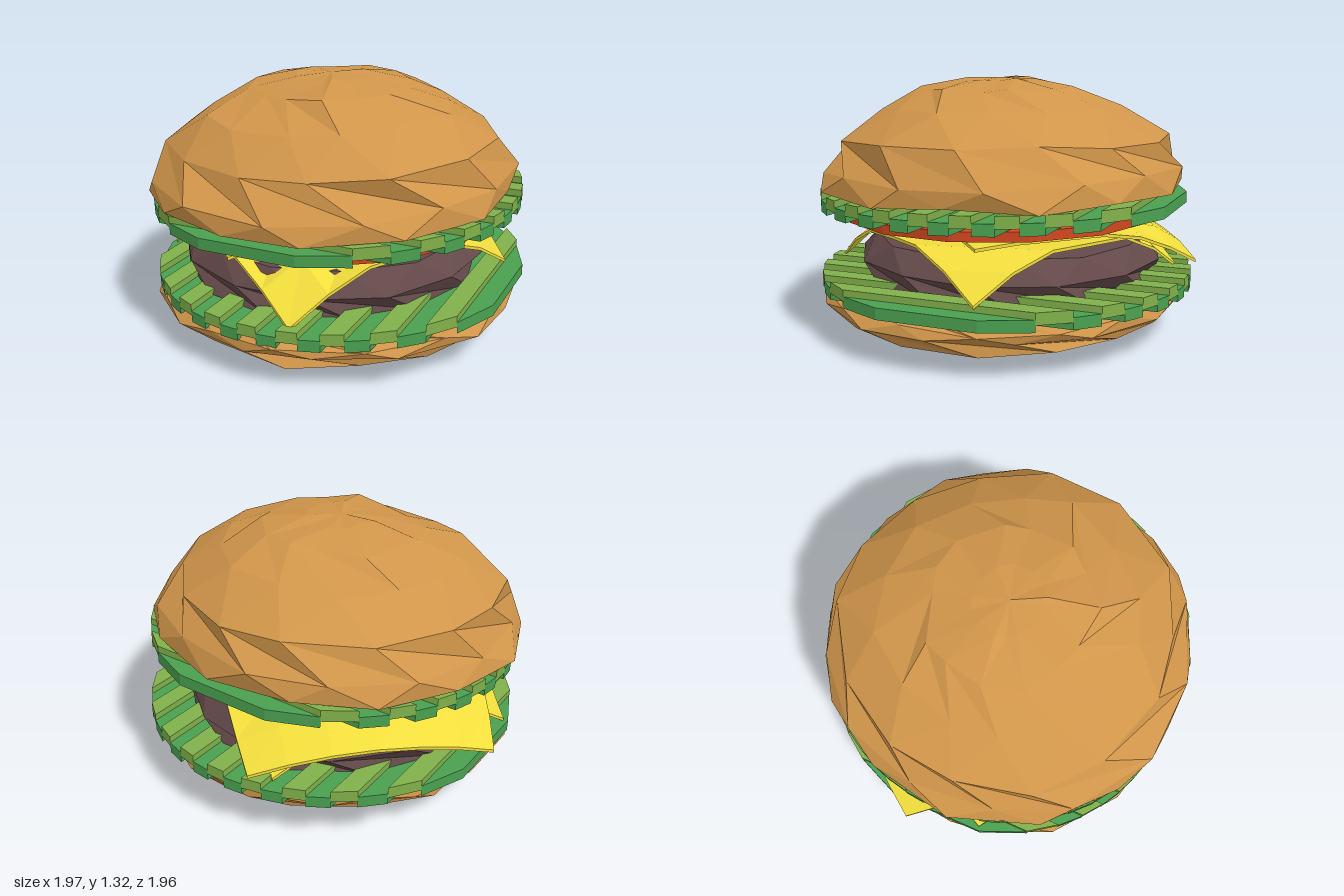
import * as THREE from 'three';
import { mergeGeometries } from 'three/addons/utils/BufferGeometryUtils.js';

const mat = color => new THREE.MeshStandardMaterial({ color, flatShading: true });
const BUN = mat(0xd0954a), LEAF = mat(0x4aa050), LEAF_LIGHT = mat(0x80b04a),
  TOMATO = mat(0xe04c22), PATTY = mat(0x64494a), CHEESE = mat(0xf0dc3c);

function mesh(name, geometry, material) {
  const m = new THREE.Mesh(geometry, material);
  m.name = name;
  return m;
}

// repeatable value in -1..1 from a position, so seam vertices stay joined
function noise(x, y, z, seed) {
  const q = v => Math.round(v * 1000);
  const s = Math.sin(q(x) * 12.9898 + q(y) * 78.233 + q(z) * 37.719 + seed * 4.13) * 43758.5453;
  return (s - Math.floor(s)) * 2 - 1;
}

// faceted round body: lathe with staggered rings and jittered vertices
function lumpy(profile, sides, jitter, seed) {
  const g = new THREE.LatheGeometry(profile.map(p => new THREE.Vector2(...p)), sides);
  const pos = g.attributes.position, v = new THREE.Vector3();
  const axis = new THREE.Vector3(0, 1, 0);
  for (let i = 0; i < pos.count; i++) {
    v.fromBufferAttribute(pos, i);
    if ((i % profile.length) % 2) v.applyAxisAngle(axis, Math.PI / sides);
    const { x, y, z } = v, r = Math.hypot(x, z);
    if (r > 0.01) {
      const k = 1 + jitter * noise(x, y, z, seed) / Math.max(r, 0.4);
      const turn = 1.2 * jitter * noise(x, y, z, seed + 5) / r;
      v.set(x * k, y + jitter * 0.45 * noise(x, y, z, seed + 9), z * k).applyAxisAngle(axis, turn);
    }
    pos.setXYZ(i, v.x, v.y, v.z);
  }
  return g;
}

// corrugated leaf: parallel strips cut to a disc, alternately raised and lowered
function lettuce(name, radius, strips, angle) {
  const group = new THREE.Group();
  group.name = name;
  const sets = [[], []];
  const reach = radius * 0.965, w = 2 * reach / strips;
  const half = u => Math.sqrt(radius * radius - u * u);
  for (let i = 0; i < strips; i++) {
    const a = -reach + i * w, b = a + w, ha = half(a), hb = half(b);
    const shape = new THREE.Shape([
      new THREE.Vector2(a, -ha), new THREE.Vector2(b, -hb),
      new THREE.Vector2(b, hb), new THREE.Vector2(a, ha)]);
    const g = new THREE.ExtrudeGeometry(shape, { depth: 0.058, bevelEnabled: false });
    g.rotateX(-Math.PI / 2).translate(0, (i % 2) * 0.034, 0).rotateY(angle);
    sets[i % 2].push(g);
  }
  group.add(mesh('loweredFolds', mergeGeometries(sets[0]), LEAF));
  group.add(mesh('raisedFolds', mergeGeometries(sets[1]), LEAF_LIGHT));
  return group;
}

// square slice draped over the patty: it bends down outside a given radius
function cheese(name, size, cx, cz, angle, y, fall) {
  const n = 6;
  const g = new THREE.BoxGeometry(size, 0.016, size, n, 1, n);
  g.rotateY(angle).translate(cx, 0, cz);
  const pos = g.attributes.position;
  for (let i = 0; i < pos.count; i++) {
    const x = pos.getX(i), z = pos.getZ(i), drop = Math.max(0, Math.hypot(x, z) - 0.72);
    const pull = 1 - 0.25 * drop;
    pos.setXYZ(i, x * pull, y + pos.getY(i) - drop * fall, z * pull);
  }
  return mesh(name, g, CHEESE);
}

export function createModel() {
  const burger = new THREE.Group();
  burger.name = 'burger';

  // bottom bun
  const bottom = mesh('bottomBun', lumpy([
    [0, 0.01], [0.3, 0.02], [0.62, 0.05], [0.87, 0.12], [0.94, 0.19], [0.95, 0.24],
    [0.88, 0.27], [0, 0.265]], 15, 0.028, 3), BUN);
  bottom.position.set(-0.015, 0, 0.025);
  burger.add(bottom);

  // lower lettuce
  const lower = lettuce('lowerLettuce', 0.98, 19, -Math.PI / 4);
  lower.position.set(0.015, 0.252, 0);
  lower.rotation.z = 0.018;
  burger.add(lower);

  // patty
  const patty = mesh('patty', lumpy([
    [0, 0.3], [0.79, 0.3], [0.81, 0.41], [0.72, 0.515], [0, 0.52]], 13, 0.012, 8), PATTY);
  patty.position.set(-0.02, 0, -0.03);
  burger.add(patty);

  // two cheese slices with hanging corners
  burger.add(cheese('cheeseSlice', 1.4, -0.03, -0.01, 0.245, 0.555, 0.85));
  burger.add(cheese('upperCheeseSlice', 1.34, -0.04, -0.26, 0, 0.59, 0.5));

  // tomato slice
  const tomato = mesh('tomato', new THREE.CylinderGeometry(0.83, 0.82, 0.05, 14), TOMATO);
  tomato.position.set(0.01, 0.643, 0.03);
  tomato.rotation.z = 0.026;
  burger.add(tomato);

  // upper lettuce
  const upper = lettuce('upperLettuce', 0.965, 19, Math.PI / 4);
  upper.position.set(-0.005, 0.67, 0.01);
  upper.rotation.z = 0.028;
  burger.add(upper);

  // domed top bun
  const top = mesh('topBun', lumpy([
    [0, 0.76], [0.6, 0.76], [0.95, 0.765], [0.94, 0.86], [0.84, 1.02], [0.63, 1.17],
    [0.4, 1.27], [0.18, 1.32], [0, 1.325]], 14, 0.035, 21), BUN);
  top.position.x = 0.01;
  top.rotation.z = 0.035;
  burger.add(top);

  return burger;
}
